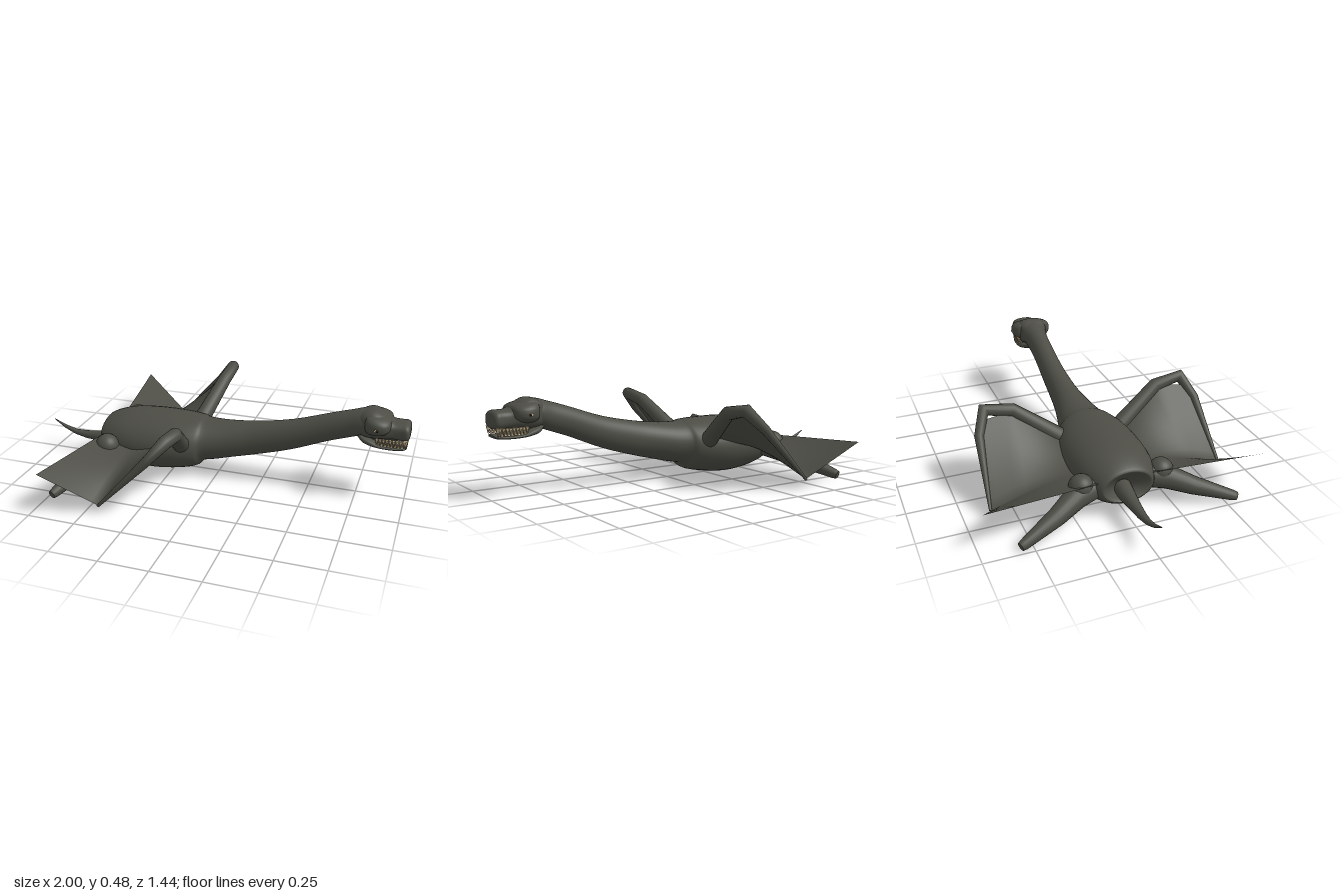
import * as THREE from 'three';

const skin = new THREE.MeshStandardMaterial({ color: 0x4d4d46 });
skin.name = 'darkSkin';
const membraneSkin = skin.clone();
membraneSkin.name = 'darkSkinMembrane';
membraneSkin.side = THREE.DoubleSide;
const ivory = new THREE.MeshStandardMaterial({ color: 0xcdb992 });
ivory.name = 'ivory';
const black = new THREE.MeshStandardMaterial({ color: 0x11110f });
black.name = 'black';

const V = (x, y, z) => new THREE.Vector3(x, y, z);

function add(parent, name, geometry, material) {
  const mesh = new THREE.Mesh(geometry, material);
  mesh.name = name;
  parent.add(mesh);
}

function surface(pos, idx) {
  const g = new THREE.BufferGeometry();
  g.setAttribute('position', new THREE.Float32BufferAttribute(pos, 3));
  g.setIndex(idx);
  g.computeVertexNormals();
  return g;
}

// Closed surface through rings of equal point count, capped at both ends
function skinRings(rings) {
  const n = rings[0].length, pos = [], idx = [];
  const centre = r => r.reduce((c, p) => c.add(p), V(0, 0, 0)).divideScalar(n);
  rings.forEach(r => r.forEach(p => pos.push(p.x, p.y, p.z)));
  for (let i = 0; i < rings.length - 1; i++) {
    for (let j = 0; j < n; j++) {
      const a = i * n + j, b = i * n + (j + 1) % n;
      idx.push(a, a + n, b, b, a + n, b + n);
    }
  }
  for (const end of [0, rings.length - 1]) {
    const r = rings[end], c = centre(r), base = pos.length / 3;
    pos.push(c.x, c.y, c.z);
    r.forEach(p => pos.push(p.x, p.y, p.z));
    for (let j = 0; j < n; j++) {
      const a = base + 1 + j, b = base + 1 + (j + 1) % n;
      if (end === 0) idx.push(base, a, b);
      else idx.push(base, b, a);
    }
  }
  return surface(pos, idx);
}

// Loft along x from stations [x, top, bottom, halfWidth]; power < 1 squares the section
function loft(stations, power = 1, steps = 4, sides = 36) {
  const a = new THREE.CatmullRomCurve3(stations.map(s => V(s[0], s[1], s[2])), false, 'centripetal');
  const w = new THREE.CatmullRomCurve3(stations.map(s => V(s[0], s[3], 0)), false, 'centripetal');
  const bend = v => Math.sign(v) * Math.abs(v) ** power;
  const count = (stations.length - 1) * steps, rings = [];
  for (let i = 0; i <= count; i++) {
    const p = a.getPoint(i / count), half = w.getPoint(i / count).y;
    const mid = (p.y + p.z) / 2, ry = (p.y - p.z) / 2;
    rings.push(Array.from({ length: sides }, (_, j) => {
      const t = j / sides * Math.PI * 2;
      return V(p.x, mid + ry * bend(Math.sin(t)), half * bend(Math.cos(t)));
    }));
  }
  return skinRings(rings);
}

// Tapered round limb through joints [x, y, z, radius]
function limb(joints, sides = 18) {
  const pts = joints.map(j => V(j[0], j[1], j[2])), ref = V(0.7, -0.7, 0);
  const rings = pts.map((p, i) => {
    const t = V(0, 0, 0);
    if (i > 0) t.add(p.clone().sub(pts[i - 1]).normalize());
    if (i < pts.length - 1) t.add(pts[i + 1].clone().sub(p).normalize());
    t.normalize();
    const a = t.clone().cross(ref).normalize(), b = a.clone().cross(t);
    return Array.from({ length: sides }, (_, j) => {
      const q = j / sides * Math.PI * 2, r = joints[i][3];
      return p.clone().addScaledVector(a, r * Math.cos(q)).addScaledVector(b, r * Math.sin(q));
    });
  });
  return skinRings(rings);
}

// Wing membrane: front span under the arm, low span to the finger tip, rear span to the trailing tip
function membrane(s) {
  const elbow = V(-0.11, 0.385, 0.41), wrist = V(-0.13, 0.372, 0.568);
  const root = V(-0.2, 0.19, 0.13), nu = 16, nv = 16, pos = [], idx = [];
  for (let i = 0; i <= nu; i++) {
    const u = i / nu;
    const f = u < 0.7 ? root.clone().lerp(elbow, u / 0.7) : elbow.clone().lerp(wrist, (u - 0.7) / 0.3);
    const m = V(-0.43, 0.15, 0.15).lerp(V(-0.43, 0.045, 0.618), u);
    const r = V(-0.62, 0.2, 0.13).lerp(V(-0.7, 0.226, 0.72), u);
    for (let j = 0; j <= nv; j++) {
      const v = j / nv;
      const sharp = v < 0.5 ? f.clone().lerp(m, v * 2) : m.clone().lerp(r, v * 2 - 1);
      const soft = f.clone().lerp(m, v).lerp(m.clone().lerp(r, v), v);
      const p = soft.lerp(sharp, Math.sqrt(u));
      pos.push(p.x, p.y, p.z * s);
    }
  }
  for (let i = 0; i < nu; i++) {
    for (let j = 0; j < nv; j++) {
      const a = i * (nv + 1) + j, b = a + nv + 1;
      if (s > 0) idx.push(a, b, a + 1, b, b + 1, a + 1);
      else idx.push(a, a + 1, b, b, a + 1, b + 1);
    }
  }
  return surface(pos, idx);
}

export function createModel() {
  const model = new THREE.Group();
  model.name = 'longNeckedCreature';

  // Body and neck, with a shallow recess where the tail begins
  add(model, 'bodyAndNeck', loft([
    [-0.58, 0.17, 0.10, 0.04], [-0.638, 0.235, 0.09, 0.11], [-0.646, 0.25, 0.08, 0.13],
    [-0.6, 0.278, 0.05, 0.16], [-0.5, 0.305, 0.02, 0.195], [-0.35, 0.317, 0.004, 0.21],
    [-0.2, 0.317, 0.02, 0.2], [-0.1, 0.313, 0.045, 0.165], [-0.07, 0.306, 0.074, 0.14],
    [0, 0.305, 0.09, 0.12], [0.1, 0.313, 0.115, 0.097], [0.2, 0.325, 0.14, 0.08],
    [0.4, 0.365, 0.2, 0.066], [0.6, 0.43, 0.28, 0.06], [0.7, 0.46, 0.315, 0.064],
    [0.78, 0.48, 0.345, 0.075], [0.82, 0.465, 0.36, 0.06]]), skin);

  // Tail
  add(model, 'tail', limb([[-0.55, 0.125, 0, 0.05], [-0.64, 0.115, 0, 0.04], [-0.72, 0.109, 0, 0.03],
    [-0.8, 0.107, 0, 0.022], [-0.87, 0.115, 0, 0.015], [-0.93, 0.137, 0, 0.01], [-1, 0.175, 0, 0.002]]), skin);

  // Head
  const head = new THREE.Group();
  head.name = 'head';
  model.add(head);
  add(head, 'skull', loft([
    [0.74, 0.462, 0.35, 0.06], [0.78, 0.482, 0.34, 0.08], [0.82, 0.485, 0.338, 0.085],
    [0.87, 0.462, 0.342, 0.08], [0.91, 0.437, 0.345, 0.068], [0.95, 0.434, 0.343, 0.066],
    [0.98, 0.432, 0.344, 0.07], [0.993, 0.422, 0.35, 0.062], [0.998, 0.4, 0.365, 0.04]], 0.7), skin);
  add(head, 'brows', loft([
    [0.772, 0.455, 0.385, 0.06], [0.785, 0.47, 0.372, 0.095], [0.81, 0.473, 0.364, 0.111],
    [0.845, 0.468, 0.364, 0.116], [0.875, 0.46, 0.372, 0.108], [0.895, 0.45, 0.385, 0.09],
    [0.905, 0.435, 0.395, 0.06]], 0.75), skin);
  add(head, 'lowerJaw', loft([
    [0.74, 0.36, 0.335, 0.04], [0.77, 0.352, 0.314, 0.07], [0.81, 0.342, 0.303, 0.082],
    [0.86, 0.322, 0.298, 0.082], [0.94, 0.317, 0.297, 0.077], [0.98, 0.317, 0.3, 0.062],
    [0.988, 0.313, 0.304, 0.045]], 0.75), skin);
  add(head, 'mouthInterior', new THREE.BoxGeometry(0.13, 0.05, 0.09).translate(0.87, 0.332, 0), skin);

  for (const s of [1, -1]) {
    const side = s > 0 ? 'right' : 'left';

    // Teeth: upper and lower rows, with a fang at the front
    for (let i = 0; i < 9; i++) {
      const x = 0.842 + i * 0.0165, z = s * (0.073 - Math.max(0, i - 6) * 0.003);
      add(head, 'upperTooth', new THREE.ConeGeometry(0.0088, 0.038, 6)
        .rotateX(Math.PI).translate(x, 0.334, z), ivory);
      if (i < 8) add(head, 'lowerTooth', new THREE.ConeGeometry(0.007, 0.026, 6)
        .translate(x + 0.008, 0.329, z * 0.96), ivory);
    }
    add(head, 'fang', new THREE.ConeGeometry(0.011, 0.044, 8)
      .rotateX(Math.PI).translate(0.982, 0.332, s * 0.061), ivory);

    // Eye and pupil
    add(head, side + 'Eye', new THREE.SphereGeometry(0.01, 12, 8)
      .scale(1.1, 0.8, 0.7).translate(0.838, 0.412, s * 0.113), ivory);
    add(head, side + 'Pupil', new THREE.SphereGeometry(0.006, 12, 8)
      .translate(0.842, 0.412, s * 0.117), black);

    // Wing arm, bent at the wrist into a long finger
    add(model, side + 'WingArm', limb([[-0.18, 0.18, s * 0.11, 0.046], [-0.16, 0.22, s * 0.17, 0.045],
      [-0.097, 0.383, s * 0.4, 0.036], [-0.092, 0.41, s * 0.545, 0.034],
      [-0.175, 0.315, s * 0.595, 0.024], [-0.43, 0.045, s * 0.622, 0.007]]), skin);
    add(model, side + 'WingMembrane', membrane(s), membraneSkin);

    // Hind leg with rounded hip and blunt foot
    add(model, side + 'Hip', new THREE.SphereGeometry(0.063, 24, 16).translate(-0.567, 0.17, s * 0.21), skin);
    add(model, side + 'HindLeg', limb([[-0.56, 0.15, s * 0.15, 0.062], [-0.585, 0.132, s * 0.24, 0.06],
      [-0.645, 0.088, s * 0.36, 0.046], [-0.716, 0.029, s * 0.545, 0.026], [-0.722, 0.024, s * 0.562, 0.021]]), skin);
  }
  return model;
}
